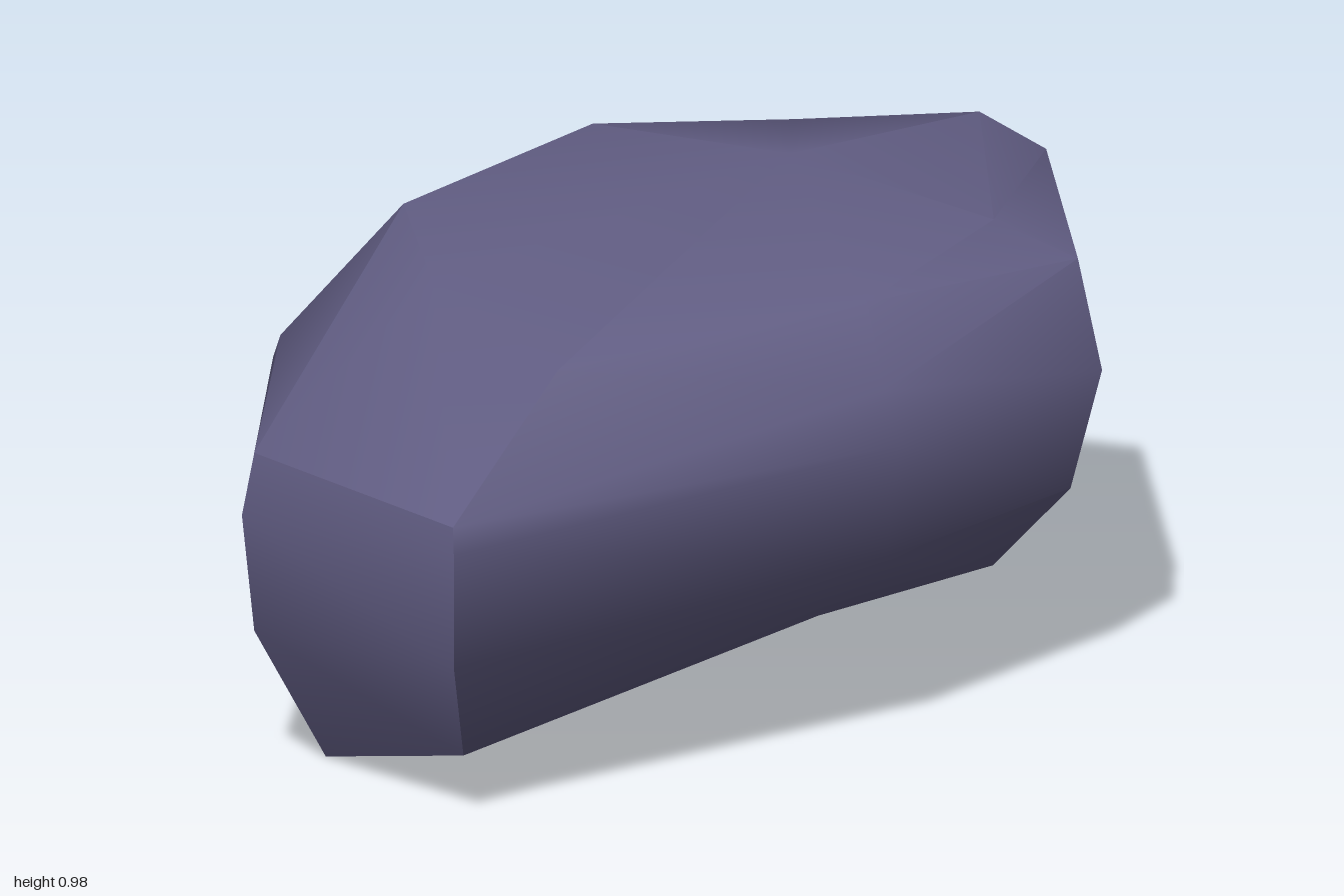
import * as THREE from 'three';
import { toCreasedNormals } from 'three/addons/utils/BufferGeometryUtils.js';

// Boulder ribs going round from the back; each runs from base to cap as [x, y, z]
const RIBS = [
  [[-0.02, 0.18, -0.79], [-0.03, 0.37, -0.94], [-0.03, 0.60, -1.00], [-0.03, 0.845, -0.96], [-0.02, 0.96, -0.79]],
  [[0.44, 0.24, -0.46], [0.54, 0.40, -0.57], [0.58, 0.64, -0.615], [0.55, 0.865, -0.58], [0.43, 0.935, -0.47]],
  [[0.53, 0.28, -0.05], [0.64, 0.40, -0.04], [0.685, 0.64, -0.04], [0.64, 0.74, -0.04], [0.52, 0.875, -0.09]],
  [[0.43, 0.13, 0.82], [0.54, 0.36, 0.93], [0.565, 0.60, 0.95], [0.55, 0.65, 0.94], [0.43, 0.86, 0.59]],
  [[-0.02, 0.00, 0.80], [-0.025, 0.29, 0.97], [-0.025, 0.53, 1.00], [-0.025, 0.65, 0.97], [-0.02, 0.905, 0.54]],
  [[-0.43, 0.165, 0.39], [-0.52, 0.36, 0.48], [-0.55, 0.60, 0.51], [-0.54, 0.645, 0.50], [-0.44, 0.89, 0.28]],
  [[-0.50, 0.145, -0.24], [-0.64, 0.37, -0.27], [-0.685, 0.60, -0.28], [-0.65, 0.775, -0.27], [-0.49, 0.93, -0.22]],
  [[-0.43, 0.17, -0.66], [-0.53, 0.30, -0.79], [-0.56, 0.53, -0.83], [-0.545, 0.69, -0.80], [-0.43, 0.86, -0.66]],
];
const BASE = [-0.02, 0.02, -0.18];
const PEAK = [-0.02, 0.975, -0.33];

export function createModel() {
  const group = new THREE.Group();
  const stone = new THREE.MeshStandardMaterial({ color: 0x615d83 });
  stone.name = 'purple grey stone';

  const positions = [];
  const triangle = (...corners) => corners.forEach((p) => positions.push(...p));

  RIBS.forEach((rib, i) => {
    const next = RIBS[(i + 1) % RIBS.length];
    // Underside and crown fans
    triangle(BASE, rib[0], next[0]);
    triangle(rib[4], PEAK, next[4]);
    // Side panels between neighbouring ribs
    for (let r = 0; r < 4; r++) {
      triangle(rib[r], rib[r + 1], next[r + 1]);
      triangle(rib[r], next[r + 1], next[r]);
    }
  });

  const shell = new THREE.BufferGeometry();
  shell.setAttribute('position', new THREE.Float32BufferAttribute(positions, 3));

  // Soft shading with sharp chipped edges
  const boulder = new THREE.Mesh(toCreasedNormals(shell, 0.7), stone);
  boulder.name = 'boulder';
  group.add(boulder);
  return group;
}
